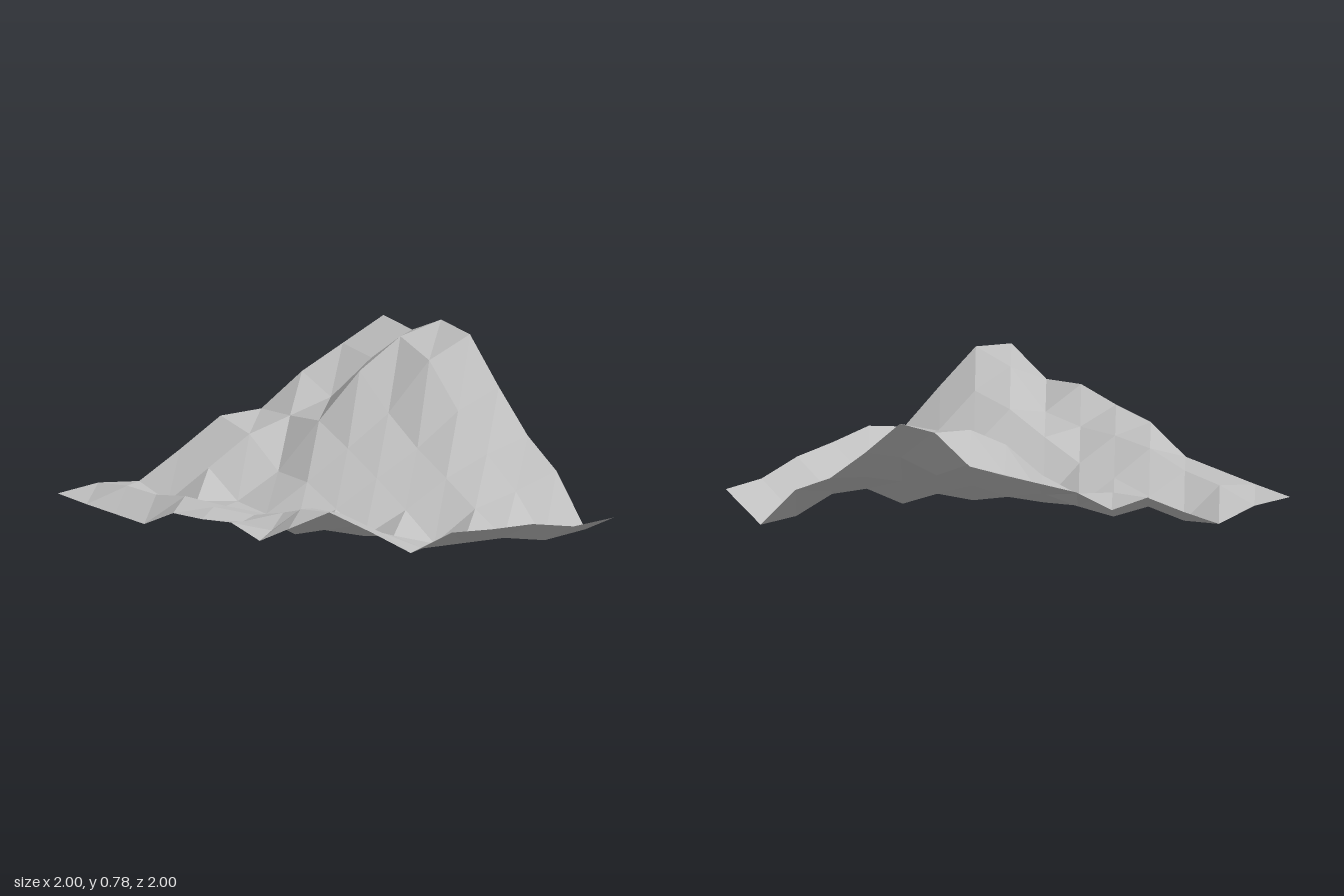
import * as THREE from 'three';

// Ground heights: one row per z step from back to front, x running from -1 to 1
const HEIGHTS = [
  [0.11, 0.12, 0.08, 0.20, 0.33, 0.32, 0.47, 0.57, 0.67],
  [0.12, 0.17, 0.04, 0.17, 0.30, 0.35, 0.40, 0.56, 0.66],
  [0.135, 0.19, 0.11, 0.06, 0.17, 0.39, 0.605, 0.74, 0.78],
  [0.15, 0.25, 0.15, 0.06, 0.18, 0.31, 0.45, 0.68, 0.77],
  [0.275, 0.26, 0.17, 0.02, 0.105, 0.22, 0.33, 0.48, 0.56],
  [0.31, 0.25, 0.25, 0.11, 0.03, 0.12, 0.24, 0.32, 0.37],
  [0.36, 0.27, 0.34, 0.20, 0.10, 0.01, 0.145, 0.19, 0.25],
  [0.33, 0.45, 0.38, 0.23, 0.10, 0.08, 0.06, 0.0, 0.01],
  [0.46, 0.50, 0.35, 0.19, 0.25, 0.22, 0.20, 0.14, 0.14],
];

export function createModel() {
  const model = new THREE.Group();
  model.name = 'terrain';

  const stone = new THREE.MeshStandardMaterial({
    color: 0xbfbfbf, flatShading: true, side: THREE.DoubleSide,
  });
  stone.name = 'light grey';

  // Flat grid lifted to the heights: a valley winding between two hills
  const cells = HEIGHTS.length - 1;
  let ground = new THREE.PlaneGeometry(2, 2, cells, cells).rotateX(-Math.PI / 2);
  const pos = ground.attributes.position;
  HEIGHTS.flat().forEach((y, i) => pos.setY(i, y));

  // Separate facets for crisp low-poly shading
  ground = ground.toNonIndexed();
  ground.computeVertexNormals();

  const mesh = new THREE.Mesh(ground, stone);
  mesh.name = 'valleyGround';
  model.add(mesh);
  return model;
}
